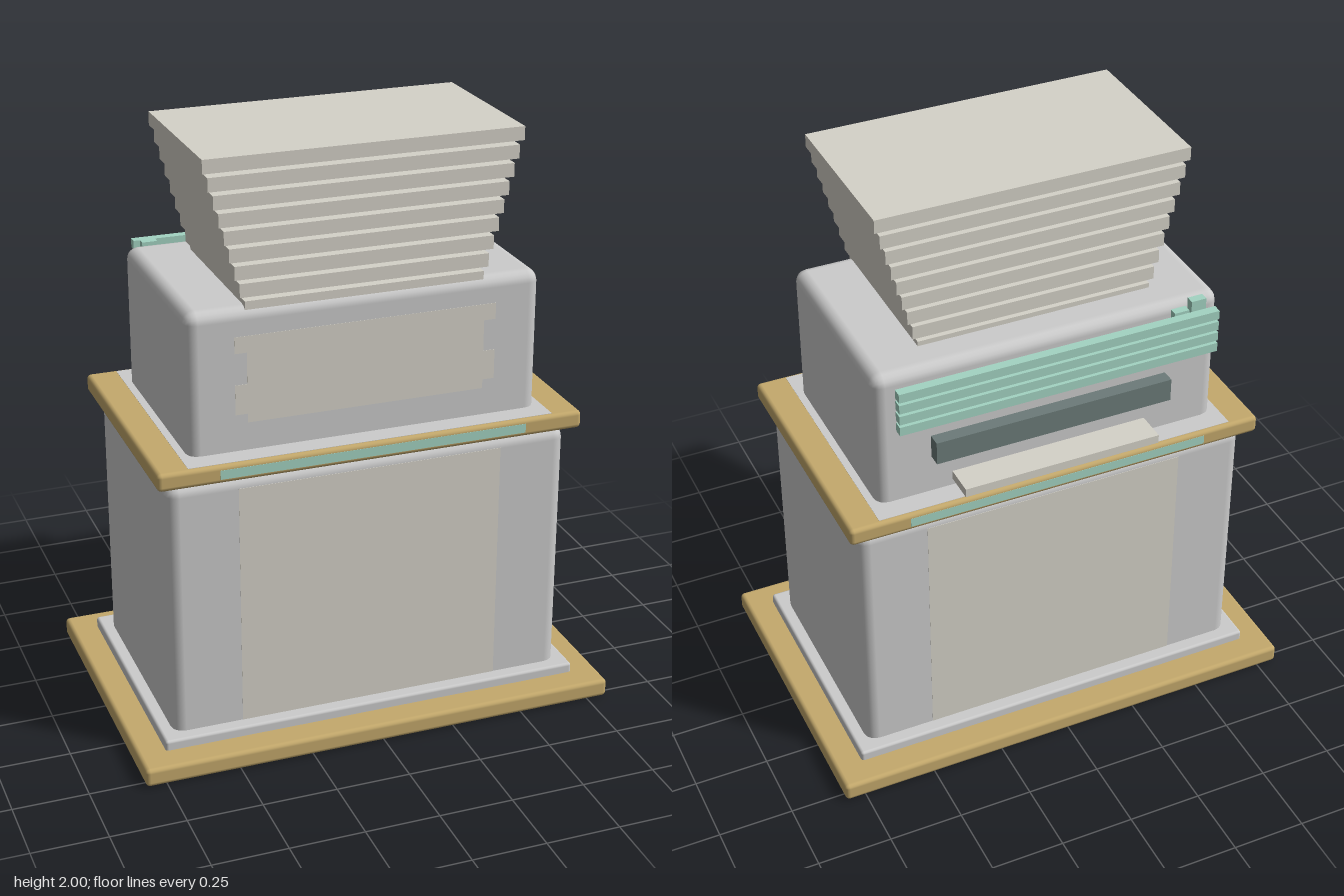
import * as THREE from 'three';
import { RoundedBoxGeometry } from 'three/addons/geometries/RoundedBoxGeometry.js';

const mat = (color) => new THREE.MeshStandardMaterial({ color });
const grey = mat(0xcccccc), gold = mat(0xc4a96c), teal = mat(0xa3d3c2);
const dark = mat(0x6c7b79), cream = mat(0xd5d2c8), orange = mat(0xd0a283);

export function createModel() {
  const model = new THREE.Group();
  model.name = 'tieredCabinet';

  // Box from its limits; a radius above zero rounds its edges
  function block(name, material, [x0, x1], [y0, y1], [z0, z1], radius = 0) {
    const size = [x1 - x0, y1 - y0, z1 - z0];
    const geometry = radius
      ? new RoundedBoxGeometry(...size, 2, radius)
      : new THREE.BoxGeometry(...size);
    const mesh = new THREE.Mesh(geometry, material);
    mesh.name = name;
    mesh.position.set((x0 + x1) / 2, (y0 + y1) / 2, (z0 + z1) / 2);
    model.add(mesh);
    return mesh;
  }
  const pm = (v) => [-v, v];

  // Base board with its underside panel and stepped plinth
  block('baseBoard', gold, pm(0.82), [0.002, 0.066], pm(0.538), 0.015);
  block('undersidePanel', grey, pm(0.725), [0, 0.03], pm(0.445));
  block('plinth', grey, pm(0.727), [0.05, 0.1], pm(0.445), 0.01);

  // Lower body with flush panels front and back
  block('lowerBody', grey, pm(0.685), [0.05, 0.98], pm(0.4), 0.042);
  block('lowerPanel', cream, pm(0.45), [0.1, 0.94], pm(0.401));

  // Middle shelf with its inlaid top and edge strips
  block('shelf', gold, pm(0.722), [0.985, 1.046], pm(0.438), 0.015);
  block('shelfInlay', grey, pm(0.62), [1.02, 1.047], pm(0.423));
  block('shelfEdgeStrip', teal, pm(0.52), [1.0, 1.031], pm(0.439));

  // Upper body and its stepped front panel
  block('upperBody', grey, pm(0.595), [1.0, 1.522], pm(0.35), 0.04);
  block('frontPanel', cream, pm(0.4), [1.14, 1.43], [0.3, 0.351]);
  for (const side of [-1, 1]) {
    const x = side < 0 ? [-0.44, -0.4] : [0.4, 0.44];
    block('frontPanelTab', cream, x, [1.375, 1.43], [0.3, 0.351]);
    block('frontPanelTab', cream, x, [1.17, 1.27], [0.3, 0.351]);
  }

  // Stack of slabs that widens upward
  for (let i = 0; i < 9; i++) {
    const top = 2 - i * 0.0577;
    block('stackSlab', cream, pm(0.526 - i * 0.0158), [top - 0.045, top], [-0.236, 0.338]);
  }

  // Slats held behind the upper body
  for (let i = 0; i < 4; i++) {
    const y = 1.36 + i * 0.0405;
    block('rearSlat', teal, pm(0.546), [y, y + 0.031], [-0.438, -0.407]);
  }

  // Row of small rear bars of falling height
  [teal, teal, gold, gold, orange].forEach((material, i) => {
    const x = -0.533 + i * 0.0595;
    block('rearBar', material, [x, x + 0.052], [1.36, 1.525 - i * 0.028], [-0.374, -0.345]);
  });

  // Rear rail and rear ledge
  block('rearRail', dark, pm(0.41), [1.18, 1.26], [-0.395, -0.34]);
  block('rearLedge', cream, pm(0.34), [1.07, 1.1], [-0.455, -0.34]);

  return model;
}
